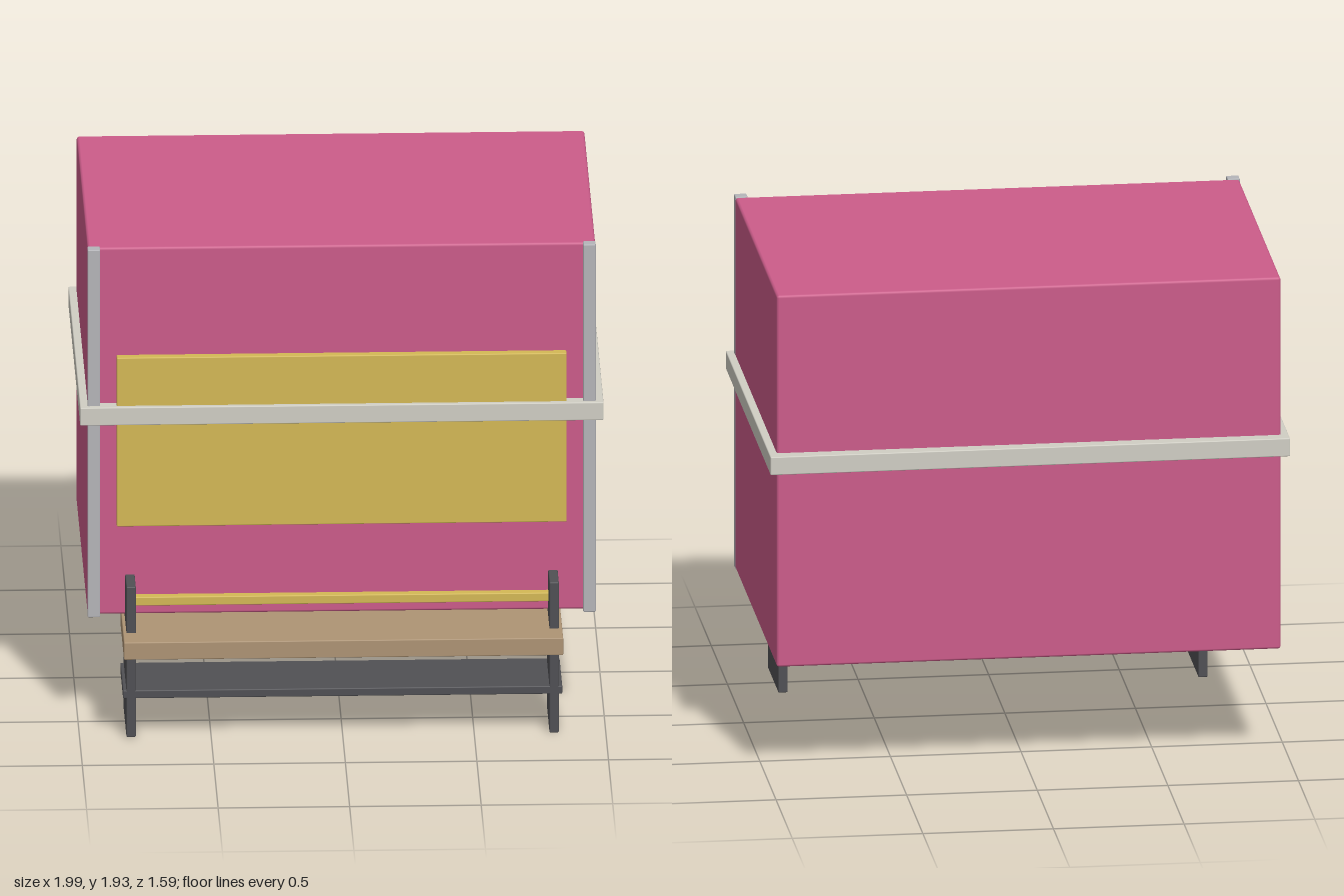
import * as THREE from 'three';
import { RoundedBoxGeometry } from 'three/addons/geometries/RoundedBoxGeometry.js';

const paint = (color) => new THREE.MeshStandardMaterial({ color });

export function createModel() {
  const model = new THREE.Group();
  const pink = paint(0xcc5c8a);
  const yellow = paint(0xd4b955);
  const cream = paint(0xd0cec4);
  const steel = paint(0xb5b5b9);
  const wood = paint(0xae9474);
  const dark = paint(0x505054);

  // Softly bevelled box given by its extents on each axis
  function block(name, material, [x0, x1], [y0, y1], [z0, z1], bevel = 0.004) {
    const geometry = new RoundedBoxGeometry(x1 - x0, y1 - y0, z1 - z0, 1, bevel);
    const mesh = new THREE.Mesh(geometry, material);
    mesh.name = name;
    mesh.position.set((x0 + x1) / 2, (y0 + y1) / 2, (z0 + z1) / 2);
    model.add(mesh);
  }

  // Main box with the band around it
  block('body', pink, [-0.965, 0.965], [0.445, 1.922], [-0.74, 0.54], 0.01);
  block('band', cream, [-0.995, 0.995], [1.225, 1.297], [-0.79, 0.595]);

  // Front panel and the narrow strip above the seat
  block('frontPanel', yellow, [-0.855, 0.855], [0.81, 1.49], [0.53, 0.575]);
  block('lowerStrip', yellow, [-0.79, 0.79], [0.49, 0.525], [0.53, 0.575]);

  // Bench seat and footrest shelf
  block('seat', wood, [-0.835, 0.835], [0.35, 0.42], [0.41, 0.795]);
  block('footShelf', dark, [-0.835, 0.835], [0.156, 0.188], [0.365, 0.685]);

  // Corner posts and bench end plates, mirrored left and right
  for (const [side, s] of [['left', 1], ['right', -1]]) {
    const span = (a, b) => (s > 0 ? [a, b] : [-b, -a]);
    block(side + 'CornerPost', steel, span(0.918, 0.966), [0.445, 1.926], [0.53, 0.575]);
    block(side + 'BenchEnd', dark, span(0.786, 0.822), [0, 0.605], [0.365, 0.685]);
  }

  return model;
}
